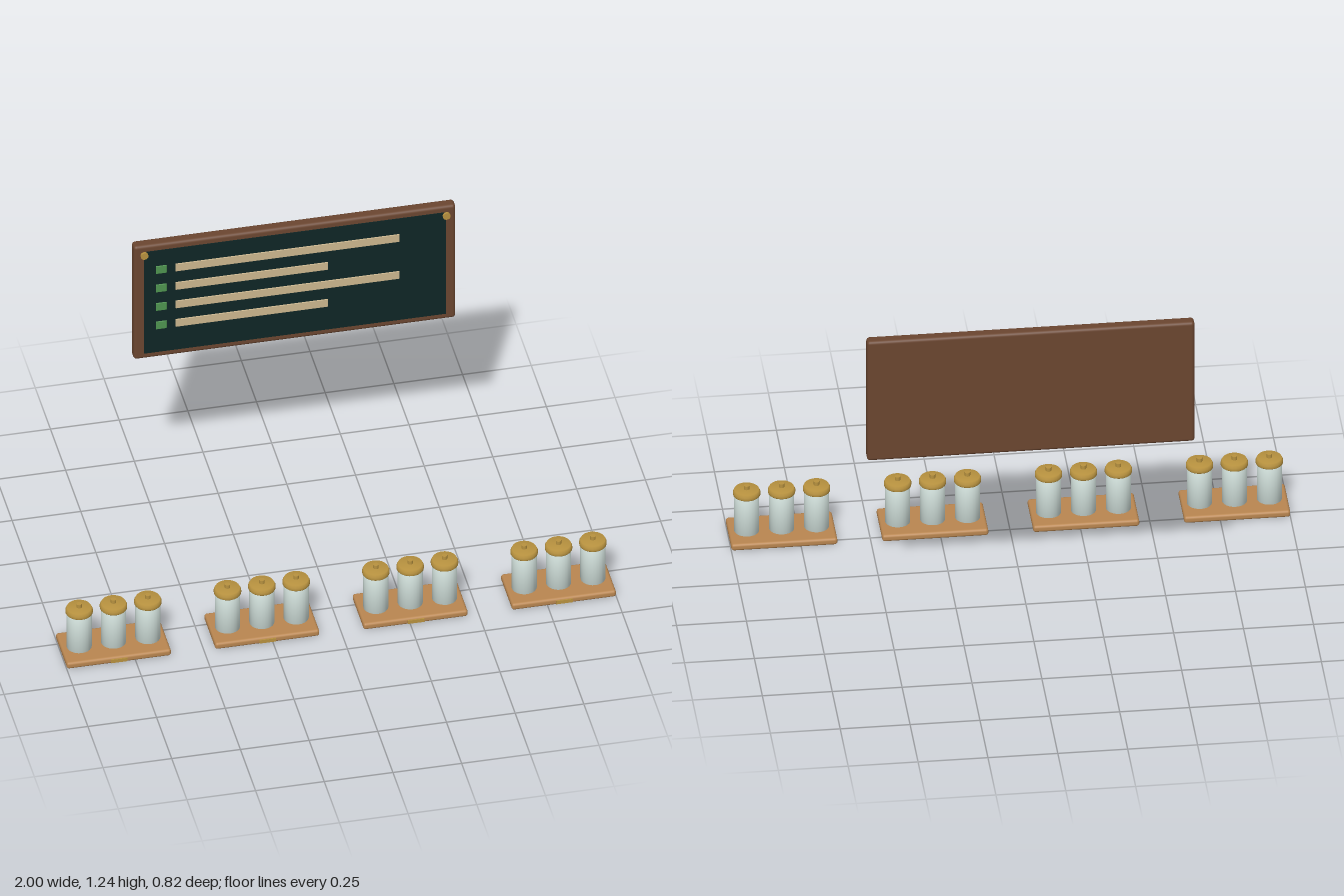
import * as THREE from 'three';
import { RoundedBoxGeometry } from 'three/addons/geometries/RoundedBoxGeometry.js';

const material = (name, color) => {
  const m = new THREE.MeshStandardMaterial({ color });
  m.name = name;
  return m;
};

export function createModel() {
  const darkWood = material('dark wood', 0x6b4630);
  const slate = material('slate', 0x0f2626);
  const cream = material('cream', 0xcdb78e);
  const green = material('green', 0x4f9550);
  const brass = material('brass', 0xb8923f);
  const tan = material('tan wood', 0xb98650);
  const glass = material('pale glass', 0xd0dfda);

  const model = new THREE.Group();
  model.name = 'menuBoardAndJarTrays';

  const add = (parent, name, geometry, mat, x, y, z) => {
    const mesh = new THREE.Mesh(geometry, mat);
    mesh.name = name;
    mesh.position.set(x, y, z);
    parent.add(mesh);
    return mesh;
  };
  const lathe = (points) =>
    new THREE.LatheGeometry(points.map(([r, y]) => new THREE.Vector2(r, y)), 24);

  // Hanging board
  const board = new THREE.Group();
  board.name = 'board';
  model.add(board);
  add(board, 'boardFrame', new RoundedBoxGeometry(1.172, 0.5, 0.044, 3, 0.012), darkWood, 0, 0.993, -0.389);
  add(board, 'slatePanel', new THREE.BoxGeometry(1.1, 0.45, 0.004), slate, 0, 0.993, -0.367);

  // Written lines, alternately long and short, each with a marker
  for (let i = 0; i < 4; i++) {
    const y = 1.133 - i * 0.082;
    const width = i % 2 ? 0.555 : 0.815;
    add(board, 'lineMarker', new RoundedBoxGeometry(0.04, 0.034, 0.004, 2, 0.0019), green, -0.487, y, -0.364);
    add(board, 'writtenLine', new RoundedBoxGeometry(width, 0.034, 0.004, 2, 0.0019), cream, -0.435 + width / 2, y, -0.364);
  }

  // Brass pins in the upper corners
  const pinGeometry = new THREE.CylinderGeometry(0.014, 0.014, 0.009, 16);
  for (const side of [-1, 1]) {
    add(board, 'cornerPin', pinGeometry, brass, side * 0.55, 1.209, -0.356).rotation.x = Math.PI / 2;
  }

  // Shared tray and jar shapes
  const trayGeometry = new RoundedBoxGeometry(0.38, 0.027, 0.19, 3, 0.01);
  const plateGeometry = new THREE.BoxGeometry(0.06, 0.014, 0.006);
  const jarGeometry = lathe([[0, 0.025], [0.045, 0.025], [0.045, 0.18], [0, 0.18]]);
  const lidGeometry = lathe([[0, 0.177], [0.047, 0.177], [0.049, 0.18], [0.049, 0.19], [0.044, 0.2], [0, 0.201]]);
  const knobGeometry = new THREE.CylinderGeometry(0.01, 0.01, 0.016, 12);

  // Four trays of three lidded jars
  for (let t = 0; t < 4; t++) {
    const tray = new THREE.Group();
    tray.name = 'jarTray';
    tray.position.set(-0.81 + t * 0.54, 0, 0.311);
    model.add(tray);
    add(tray, 'trayBase', trayGeometry, tan, 0, 0.0145, 0);
    add(tray, 'frontPlate', plateGeometry, brass, 0, 0.014, 0.096);
    for (const x of [-0.125, 0, 0.125]) {
      add(tray, 'jar', jarGeometry, glass, x, 0, 0);
      add(tray, 'lid', lidGeometry, brass, x, 0, 0);
      add(tray, 'lidKnob', knobGeometry, brass, x, 0.207, 0);
    }
  }

  return model;
}
